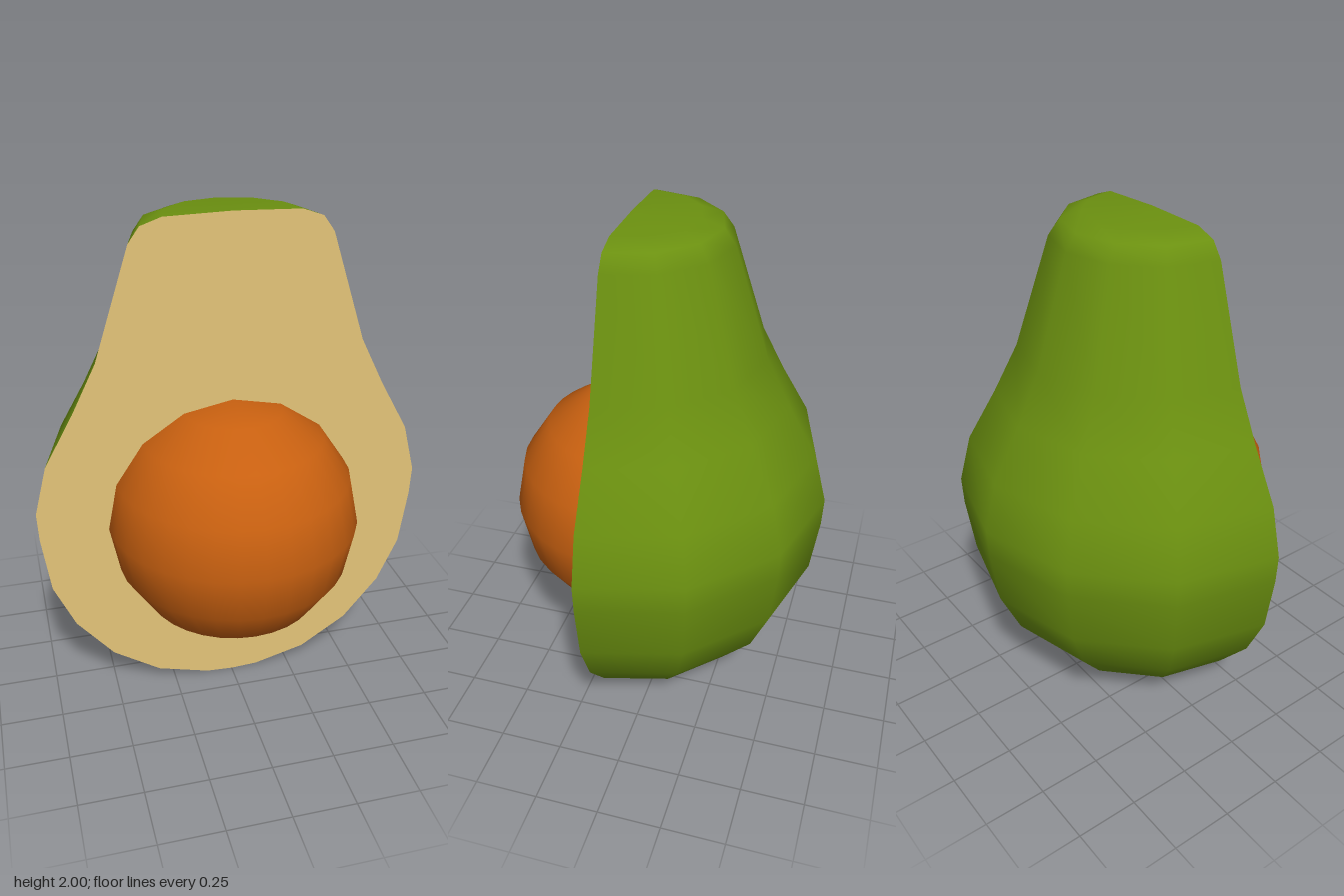
import * as THREE from 'three';

const CUT_Z = 0.137; // plane of the flat cut face

// Half outline of the fruit, bottom to top: [radius, height]
const PROFILE = [
  [0, 0], [0.11, 0.006], [0.32, 0.062], [0.51, 0.185], [0.655, 0.36],
  [0.738, 0.545], [0.77, 0.775], [0.775, 0.89], [0.725, 1.085], [0.61, 1.29],
  [0.515, 1.48], [0.378, 1.905], [0.335, 1.965], [0.255, 1.993], [0, 2],
].map(([r, y]) => new THREE.Vector2(r, y));

function makeMaterial(name, color) {
  const material = new THREE.MeshStandardMaterial({ color });
  material.name = name;
  return material;
}

export function createModel() {
  const group = new THREE.Group();
  group.name = 'halvedAvocado';

  const add = (name, geometry, material, y = 0) => {
    const mesh = new THREE.Mesh(geometry, material);
    mesh.name = name;
    mesh.position.set(0, y, CUT_Z);
    group.add(mesh);
  };

  // Skin: half a revolution behind the cut
  add('skin', new THREE.LatheGeometry(PROFILE, 6, Math.PI / 2, Math.PI),
    makeMaterial('skin green', 0x6b9010));

  // Flesh: flat face closing the cut, mirrored from the profile
  const mirrored = PROFILE.slice(1, -1).reverse()
    .map((p) => new THREE.Vector2(-p.x, p.y));
  add('flesh', new THREE.ShapeGeometry(new THREE.Shape([...PROFILE, ...mirrored])),
    makeMaterial('flesh cream', 0xe4c479));

  // Stone: front half of a sphere bulging out of the flesh
  add('stone', new THREE.SphereGeometry(0.5, 16, 8, 0, Math.PI),
    makeMaterial('stone brown', 0xc86010), 0.785);

  return group;
}
